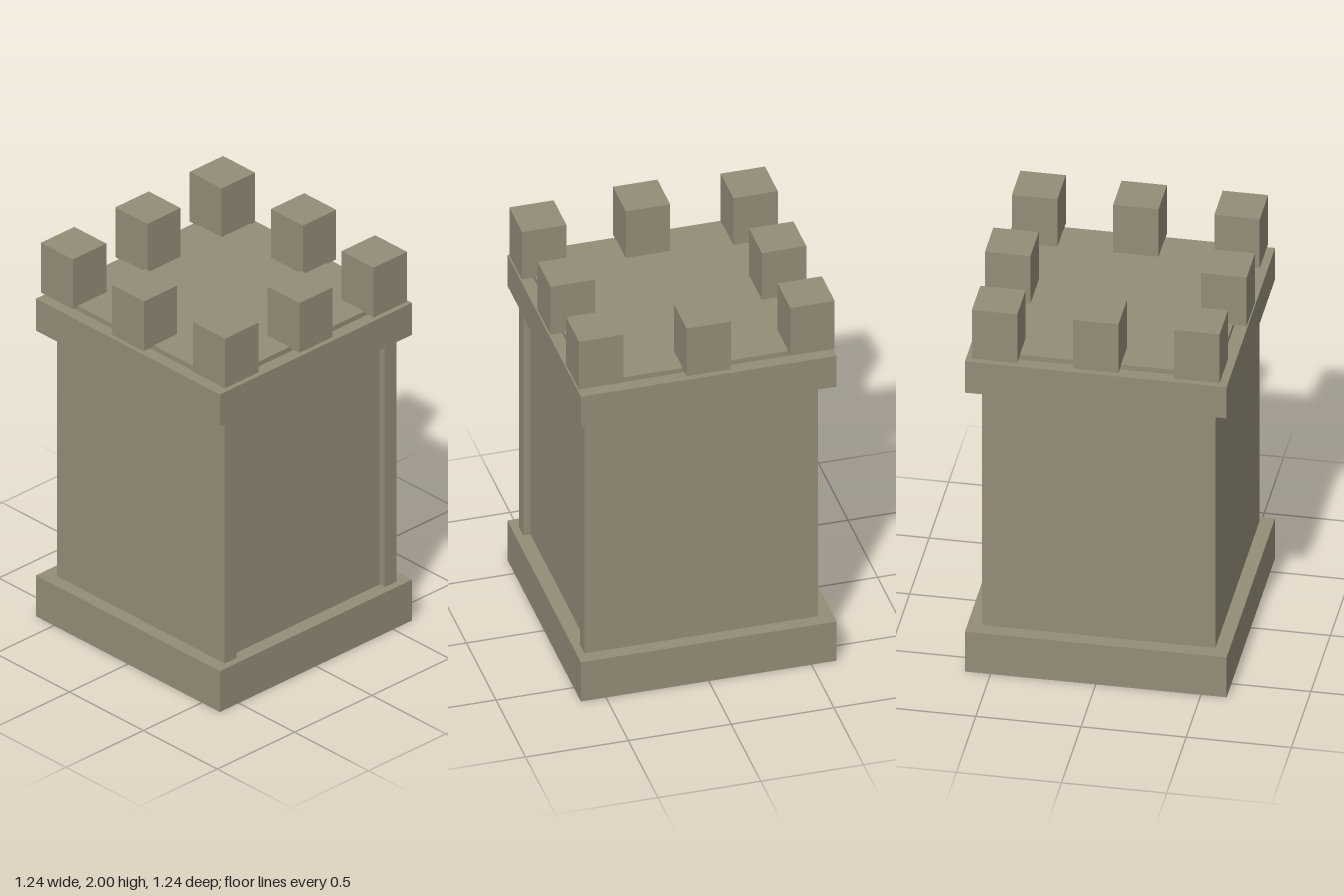
import * as THREE from 'three';

export function createModel() {
  const tower = new THREE.Group();
  tower.name = 'tower';
  const stone = new THREE.MeshStandardMaterial({ color: 0x948c78 });
  stone.name = 'stone';

  // Box given by its ranges along x, y and z
  function block(name, [x0, x1], [y0, y1], [z0, z1]) {
    const mesh = new THREE.Mesh(new THREE.BoxGeometry(x1 - x0, y1 - y0, z1 - z0), stone);
    mesh.name = name;
    mesh.position.set((x0 + x1) / 2, (y0 + y1) / 2, (z0 + z1) / 2);
    tower.add(mesh);
  }

  const rim = [-0.622, 0.622];
  block('base', rim, [0, 0.22], rim);
  block('shaft', [-0.555, 0.555], [0.22, 1.54], [-0.55, 0.55]);
  block('ledge', rim, [1.54, 1.712], rim);
  block('roofSlab', [-0.558, 0.558], [1.712, 1.738], [-0.558, 0.558]);

  // Corner strips standing proud of the front wall
  block('leftPilaster', [0.48, 0.555], [0.22, 1.54], [0.55, 0.585]);
  block('rightPilaster', [-0.555, -0.48], [0.22, 1.54], [0.55, 0.585]);

  // Battlements: three along front and back, one on each side
  const half = 0.108;
  function merlon(x, z) {
    block('merlon', [x - half, x + half], [1.732, 2], [z - half, z + half]);
  }
  for (const side of [-1, 1]) {
    for (const x of [-0.481, 0, 0.481]) merlon(x, side * 0.514);
    merlon(side * 0.514, 0);
  }
  return tower;
}
